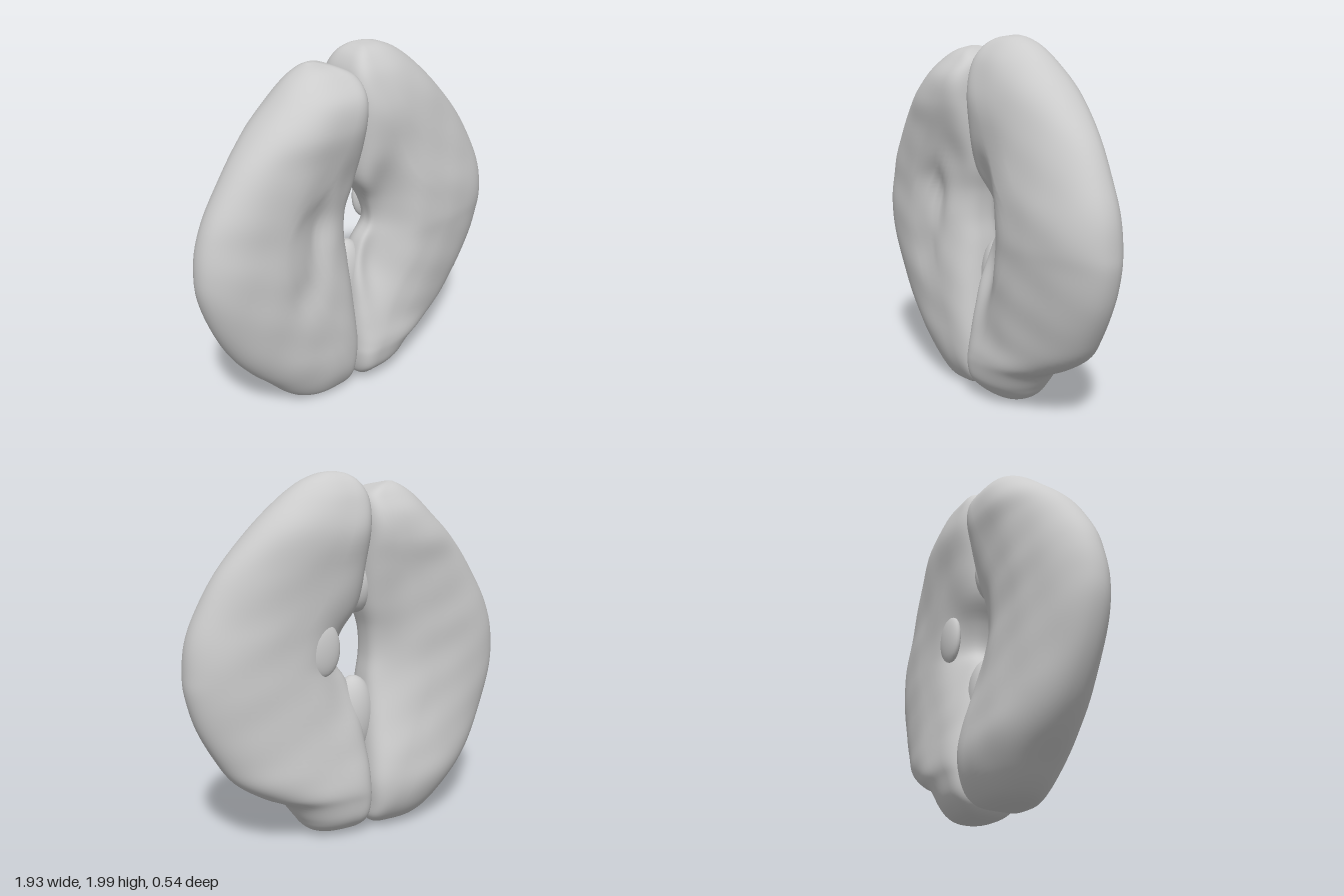
import * as THREE from 'three';

const material = new THREE.MeshStandardMaterial({ color: 0xcccccc, roughness: 0.9, side: THREE.DoubleSide });

// Each row: y, inner x, outer x, back z, front z
const leftRows = [
  [2.0, 0.12, 0.16, -0.04, -0.01], [1.985, 0.06, 0.23, -0.08, 0.06], [1.94, 0.0, 0.33, -0.13, 0.12],
  [1.85, -0.04, 0.45, -0.18, 0.18], [1.7, -0.04, 0.61, -0.215, 0.225], [1.5, -0.03, 0.78, -0.19, 0.24],
  [1.3, -0.01, 0.89, -0.17, 0.26], [1.15, 0.08, 0.945, -0.165, 0.27], [1.0, 0.12, 0.962, -0.165, 0.27],
  [0.88, 0.05, 0.958, -0.17, 0.26], [0.7, -0.01, 0.91, -0.18, 0.25], [0.52, -0.03, 0.82, -0.2, 0.235],
  [0.39, -0.04, 0.73, -0.22, 0.225], [0.29, -0.04, 0.59, -0.23, 0.23], [0.22, -0.04, 0.45, -0.22, 0.225],
  [0.13, -0.03, 0.375, -0.2, 0.2], [0.07, -0.01, 0.33, -0.16, 0.15], [0.03, 0.04, 0.27, -0.1, 0.1],
  [0.015, 0.13, 0.18, 0.0, 0.03],
];
const rightRows = [
  [1.945, -0.2, -0.24, -0.04, 0.0], [1.92, -0.11, -0.3, -0.1, 0.1], [1.87, -0.03, -0.38, -0.15, 0.17],
  [1.78, -0.01, -0.48, -0.2, 0.24], [1.65, -0.01, -0.62, -0.22, 0.26], [1.5, -0.01, -0.75, -0.2, 0.24],
  [1.3, -0.03, -0.88, -0.19, 0.22], [1.15, -0.07, -0.94, -0.19, 0.205], [1.0, -0.08, -0.965, -0.19, 0.205],
  [0.85, -0.06, -0.955, -0.2, 0.205], [0.65, -0.04, -0.89, -0.22, 0.205], [0.45, -0.02, -0.79, -0.25, 0.2],
  [0.3, -0.01, -0.68, -0.265, 0.195], [0.17, -0.02, -0.55, -0.24, 0.175], [0.08, -0.03, -0.46, -0.19, 0.14],
  [0.03, -0.08, -0.38, -0.12, 0.1], [0.01, -0.22, -0.27, 0.0, 0.04],
];

// Dents: x, y, x radius, y radius, depth, side (+1 front, -1 back)
const leftDents = [
  [0.09, 0.82, 0.13, 0.3, 0.15, 1], [0.15, 1.05, 0.1, 0.22, 0.1, 1],
  [0.1, 1.25, 0.14, 0.2, 0.06, 1], [0.12, 0.95, 0.12, 0.25, 0.05, -1],
];
const rightDents = [
  [-0.33, 1.12, 0.08, 0.2, 0.06, 1], [-0.4, 0.8, 0.09, 0.14, 0.03, 1],
  [-0.14, 1.3, 0.12, 0.2, 0.04, 1], [-0.14, 0.95, 0.12, 0.35, 0.04, -1],
];

const STEPS = 90, SIDES = 64;
const rounded = (v, p) => Math.sign(v) * Math.abs(v) ** p;

// Skins a plump lobe through horizontal cross-sections, blunter where it meets its twin
function lobe(name, rows, dents) {
  const curve = (a, b) => new THREE.CatmullRomCurve3(
    rows.map(r => new THREE.Vector3(r[0], r[a], r[b])), false, 'catmullrom', 0.5);
  const widths = curve(1, 2), depths = curve(3, 4);
  const pos = [], index = [];
  for (let i = 0; i <= STEPS; i++) {
    const w = widths.getPoint(i / STEPS), d = depths.getPoint(i / STEPS);
    const y = w.x, midZ = (d.y + d.z) / 2, halfZ = (d.z - d.y) / 2;
    // The thickest line curls toward the seam above and below the opening
    const belly = Math.exp(-(((y - 1) / 0.45) ** 2));
    const innerPower = 0.45 + 0.25 * belly, crest = 0.35 + 0.15 * belly;
    for (let j = 0; j < SIDES; j++) {
      const a = j / SIDES * Math.PI * 2, c = Math.cos(a), s = Math.sin(a);
      const p = c < 0 ? innerPower : 0.92, reach = c < 0 ? crest : 1 - crest;
      const x = w.y + (w.z - w.y) * (crest + reach * rounded(c, p));
      let z = halfZ * rounded(s, p);
      for (const [dx, dy, rx, ry, depth, side] of dents) {
        if (s * side <= 0) continue;
        const fall = Math.exp(-(((x - dx) / rx) ** 2) - ((y - dy) / ry) ** 2);
        z -= side * depth * fall * Math.abs(z) / halfZ;
      }
      // Faint skin unevenness
      z += 0.003 * Math.sin(x * 17 + y * 9) * Math.sin(y * 15 - x * 6) * s;
      pos.push(x, y, midZ + z);
    }
  }
  const flip = rows[8][2] < 0;
  const tri = (a, b, c) => flip ? index.push(a, c, b) : index.push(a, b, c);
  for (let i = 0; i < STEPS; i++) for (let j = 0; j < SIDES; j++) {
    const a = i * SIDES + j, b = i * SIDES + (j + 1) % SIDES;
    tri(a, b, a + SIDES);
    tri(b, b + SIDES, a + SIDES);
  }
  // Close both ends with a fan
  const last = STEPS * SIDES;
  for (let j = 1; j < SIDES - 1; j++) {
    tri(0, j + 1, j);
    tri(last, last + j, last + j + 1);
  }
  const geo = new THREE.BufferGeometry();
  geo.setAttribute('position', new THREE.Float32BufferAttribute(pos, 3));
  geo.setIndex(index);
  geo.computeVertexNormals();
  const mesh = new THREE.Mesh(geo, material);
  mesh.name = name;
  return mesh;
}

function blob(name, [x, y, z], [sx, sy, sz]) {
  const mesh = new THREE.Mesh(new THREE.SphereGeometry(1, 24, 16), material);
  mesh.name = name;
  mesh.position.set(x, y, z);
  mesh.scale.set(sx, sy, sz);
  return mesh;
}

export function createModel() {
  const group = new THREE.Group();
  group.name = 'twinLobes';
  group.add(
    lobe('leftLobe', leftRows, leftDents),
    lobe('rightLobe', rightRows, rightDents),
    // Tissue joining the lobes above and below the central opening
    blob('lowerBridge', [0.01, 0.66, -0.02], [0.13, 0.23, 0.1]),
    blob('upperBridge', [-0.02, 1.41, 0], [0.09, 0.17, 0.11]),
    // Low raised button on the back
    blob('backNodule', [0.25, 1.08, -0.12], [0.1, 0.15, 0.04]),
  );
  return group;
}
